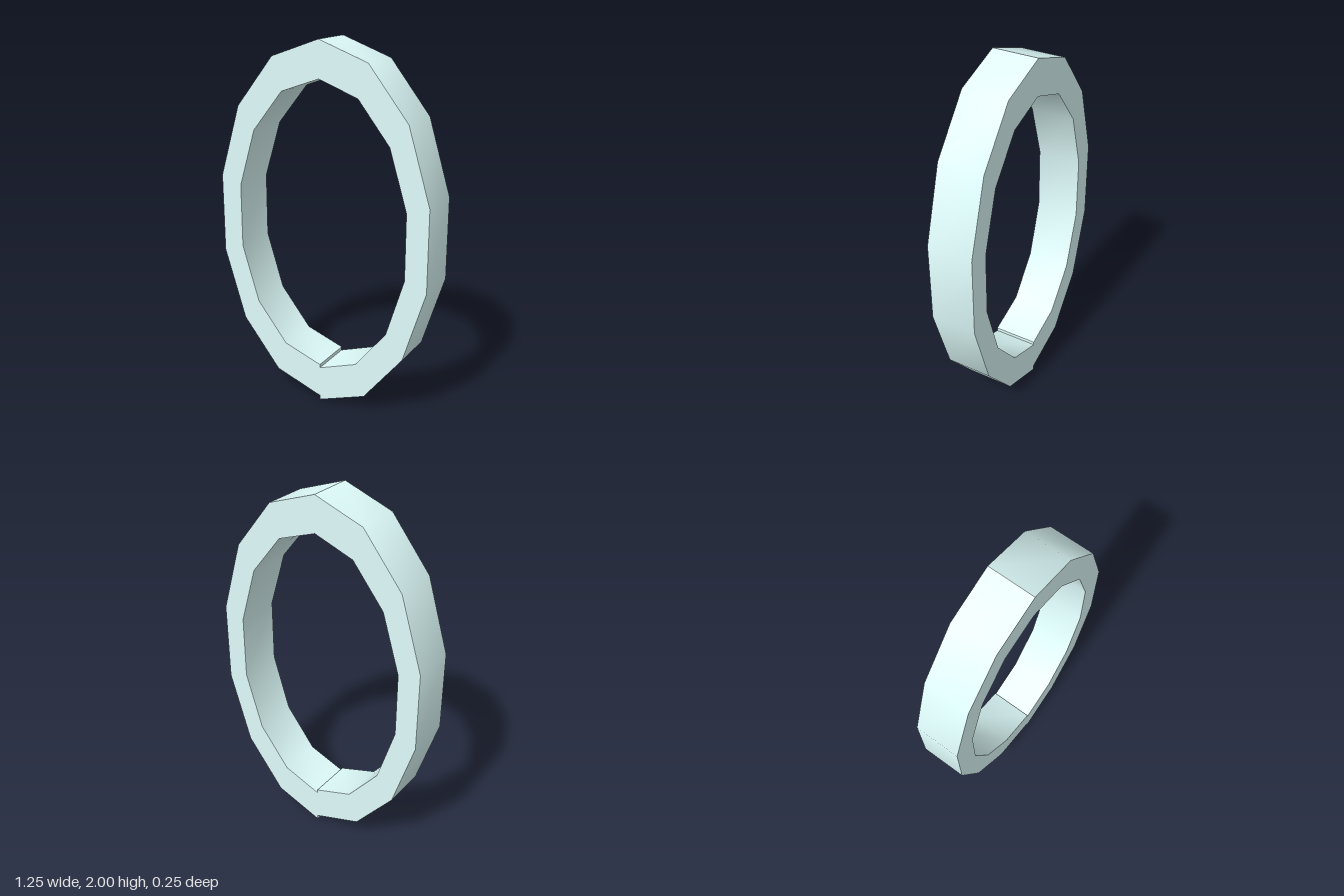
import * as THREE from 'three';
import { toCreasedNormals } from 'three/addons/utils/BufferGeometryUtils.js';

const SEGMENTS = 7; // per half ring
const DEPTH = 0.25;

// Half of an oval, from its top to its bottom; side is +1 or -1 in x
function halfOval(side, width, top, bottom) {
  const points = [];
  const cy = (top + bottom) / 2;
  const ry = (top - bottom) / 2;
  for (let i = 0; i <= SEGMENTS; i++) {
    const a = (i / SEGMENTS) * Math.PI;
    const x = i === 0 || i === SEGMENTS ? 0 : side * width * Math.sin(a);
    points.push(new THREE.Vector2(x, cy + ry * Math.cos(a)));
  }
  return points;
}

// Closed clockwise outline whose two halves meet at the top and are stepped at the bottom
function steppedOval(width, top, leftBottom, rightBottom) {
  const left = halfOval(1, width, top, leftBottom);
  const right = halfOval(-1, width, top, rightBottom).reverse();
  right.pop(); // shared top point
  return [...left, ...right];
}

export function createModel() {
  const group = new THREE.Group();
  group.name = 'ovalRing';

  // Band: outer oval with an inner oval cut out, wound the opposite way so its wall faces inwards
  const shape = new THREE.Shape(steppedOval(0.639, 2, 0, 0.025));
  shape.holes.push(new THREE.Path(steppedOval(0.513, 1.805, 0.2, 0.22).reverse()));
  const geometry = new THREE.ExtrudeGeometry(shape, { depth: DEPTH, bevelEnabled: false, steps: 1 });
  geometry.translate(0, 0, -DEPTH / 2);

  // Smooth around the band, sharp at the rims, the top point and the bottom step
  const band = new THREE.Mesh(
    toCreasedNormals(geometry, THREE.MathUtils.degToRad(35)),
    new THREE.MeshStandardMaterial({ color: 0xdffdfc })
  );
  band.name = 'band';
  group.add(band);
  return group;
}
